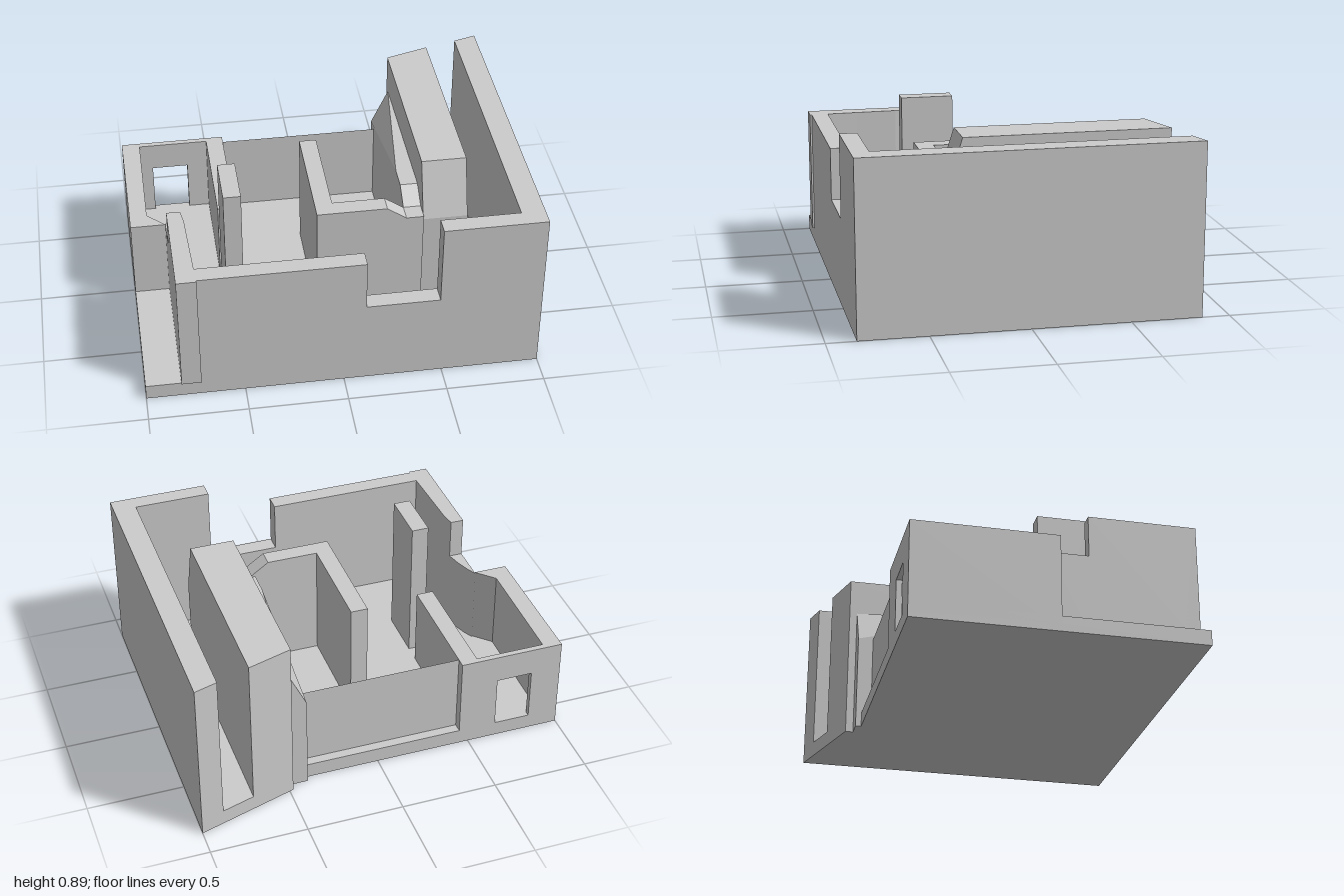
import * as THREE from 'three';
import { ConvexGeometry } from 'three/addons/geometries/ConvexGeometry.js';

const FLOOR = 0.08, LOW = 0.51, MID = 0.70, HIGH = 0.73, TALL = 0.89;

export function createModel() {
  const model = new THREE.Group();
  const material = new THREE.MeshStandardMaterial({ color: 0xcccccc, flatShading: true });

  const add = (name, geometry, mat = material) => {
    const mesh = new THREE.Mesh(geometry, mat);
    mesh.name = name;
    model.add(mesh);
    return mesh;
  };
  // box given by its limits
  const box = (name, x0, x1, y0, y1, z0, z1) =>
    add(name, new THREE.BoxGeometry(x1 - x0, y1 - y0, z1 - z0)
      .translate((x0 + x1) / 2, (y0 + y1) / 2, (z0 + z1) / 2));
  // plan outline in (x, z) raised from y0 to y1
  const prism = (name, plan, y0, y1) => {
    const shape = new THREE.Shape(plan.map(([x, z]) => new THREE.Vector2(x, -z)));
    add(name, new THREE.ExtrudeGeometry(shape, { depth: y1 - y0, bevelEnabled: false })
      .rotateX(-Math.PI / 2).translate(0, y0, 0));
  };
  // elevation outline in (x, y) with optional hole, from z0 to z1
  const elevation = (name, outline, z0, z1, hole) => {
    const toPoints = (list) => list.map(([x, y]) => new THREE.Vector2(x, y));
    const shape = new THREE.Shape(toPoints(outline));
    if (hole) shape.holes.push(new THREE.Path(toPoints(hole)));
    add(name, new THREE.ExtrudeGeometry(shape, { depth: z1 - z0, bevelEnabled: false })
      .translate(0, 0, z0));
  };
  const hull = (name, points) =>
    add(name, new ConvexGeometry(points.map((p) => new THREE.Vector3(...p))));

  // floor slab with the slanted back corner
  prism('floor', [[-1, 0.85], [1, 0.85], [1, -0.86], [0.48, -0.70], [0.48, -0.66],
    [0.39, -0.66], [0.39, -0.63], [-1, -0.63]], 0, FLOOR);

  // outer walls
  prism('rightWall', [[0.88, 0.85], [1, 0.85], [1, -0.86], [0.88, -0.823]], 0, TALL);
  elevation('frontWall', [[-0.82, 0], [1, 0], [1, TALL], [0.48, TALL], [0.48, 0.46],
    [0.11, 0.46], [0.11, HIGH], [-0.82, HIGH]], 0.76, 0.85);
  elevation('backWindowWall', [[-1, 0], [-0.45, 0], [-0.45, LOW], [-1, LOW]], -0.63, -0.60,
    [[-0.84, FLOOR], [-0.84, 0.36], [-0.65, 0.36], [-0.65, FLOOR]]);

  // curved left wall: low run, low bend, then the higher front run
  prism('leftWall', [[-1, -0.63], [-1, 0.11], [-0.82, 0.11], [-0.87, 0.06], [-0.91, 0.02],
    [-0.905, -0.60], [-0.905, -0.63]], 0, LOW);
  prism('leftWallBend', [[-0.82, 0.10], [-0.82, 0.30], [-0.75, 0.30], [-0.77, 0.22],
    [-0.795, 0.15]], FLOOR, LOW);
  prism('curvedWall', [[-0.82, 0.30], [-0.82, 0.86], [-0.72, 0.86], [-0.73, 0.6],
    [-0.738, 0.38], [-0.75, 0.30]], FLOOR, HIGH);

  // thin pane closing the middle of the back
  const pane = add('backPane', new THREE.PlaneGeometry(0.84, LOW - FLOOR),
    new THREE.MeshStandardMaterial({ color: 0xcccccc, side: THREE.DoubleSide }));
  pane.position.set(-0.03, (LOW + FLOOR) / 2, -0.58);

  // inner walls
  box('leftPartition', -0.54, -0.45, FLOOR, LOW, -0.63, 0.02);
  box('pillar', -0.54, -0.45, FLOOR, 0.86, 0.11, 0.39);
  box('middlePartition', -0.07, 0.02, FLOOR, MID, -0.26, 0.39);
  elevation('crossWall', [[0.02, FLOOR], [0.48, FLOOR], [0.48, 0.63], [0.39, 0.63],
    [0.29, MID], [0.02, MID]], 0.30, 0.39);

  // right partition: ramped front end and a twisted, tapering back end
  const both = (y, z) => [[0.39, y, z], [0.48, y, z]];
  hull('rightPartitionRamp', [...both(FLOOR, 0.30), ...both(0.63, 0.30),
    ...both(FLOOR, 0.20), ...both(MID, 0.20)]);
  box('rightPartitionMiddle', 0.39, 0.48, FLOOR, MID, 0.08, 0.20);
  hull('rightPartitionTaper', [...both(FLOOR, 0.08), ...both(MID, 0.08),
    ...both(FLOOR, -0.66), [0.39, LOW, -0.66], [0.48, MID, -0.66]]);

  // tall block with slanted back and sloping front
  const block = [];
  for (const [x, back] of [[0.48, -0.70], [0.71, -0.771]]) {
    block.push([x, 0, back], [x, 0.895, back], [x, 0.895, 0.28], [x, 0.60, 0.375], [x, 0, 0.375]);
  }
  hull('tallBlock', block);

  return model;
}
